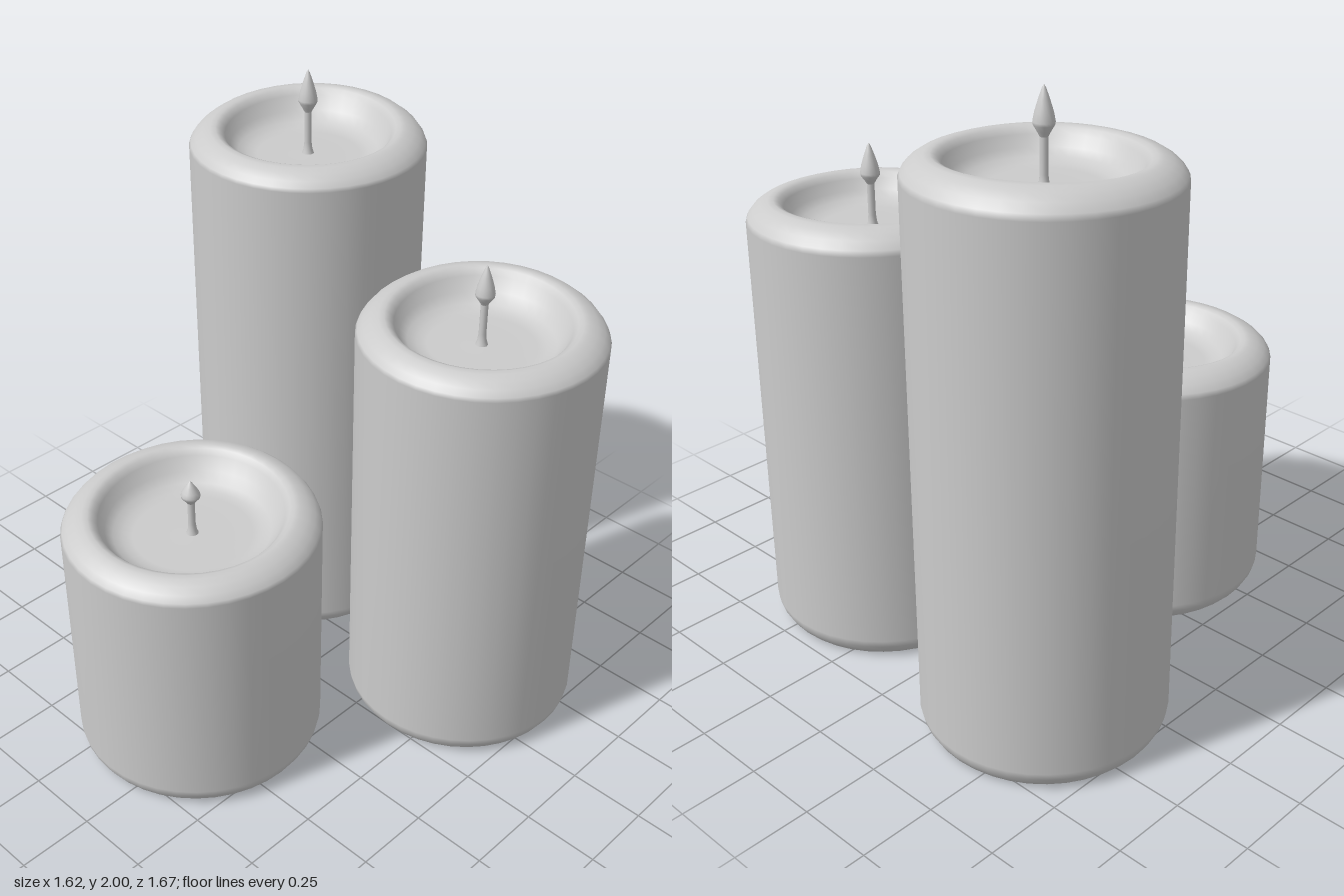
import * as THREE from 'three';

const material = new THREE.MeshStandardMaterial({ color: 0xcccccc });

// Smooth lathe from [radius, height] pairs listed bottom to top
function lathe(name, points, segments) {
  const profile = points.map(([r, y]) => new THREE.Vector2(r, y));
  const mesh = new THREE.Mesh(new THREE.LatheGeometry(profile, segments), material);
  mesh.name = name;
  return mesh;
}

// Lift the melted rim towards the back-left side
function liftRim(geometry, top, lift) {
  const p = geometry.attributes.position;
  for (let i = 0; i < p.count; i++) {
    const x = p.getX(i), y = p.getY(i), z = p.getZ(i);
    const r = Math.hypot(x, z);
    if (y < top - 0.07 || r < 0.23) continue;
    const side = 0.5 - 0.5 * (0.5 * x + 0.866 * z) / r;
    const weight = THREE.MathUtils.smoothstep(y, top - 0.09, top - 0.01);
    p.setY(i, y + lift * weight * side * side);
  }
}

function candle({ name, x, z, radius: R, top, tip, neck, wide, pool }) {
  const group = new THREE.Group();
  group.name = name;
  const floor = top - 0.09;

  // Wax wall, rounded shoulder, rim and hollow
  const wax = lathe('waxBody', [
    [R - 0.04, 0], [R - 0.025, 0.015], [R - 0.01, 0.04], [R - 0.004, 0.065],
    [R, top - 0.055], [R - 0.006, top - 0.043], [R - 0.022, top - 0.026],
    [R - 0.045, top - 0.011], [R - 0.07, top - 0.002], [R - 0.088, top],
    [R - 0.103, top - 0.006], [R - 0.118, top - 0.022], [pool + 0.025, top - 0.055],
    [pool, top - 0.075], [pool - 0.03, floor + 0.004], [pool - 0.06, floor],
    [0.05, floor + 0.001], [0, floor + 0.002],
  ], 40);
  liftRim(wax.geometry, top, 0.03);

  // Flat underside
  const base = new THREE.Mesh(new THREE.CircleGeometry(R - 0.04, 40), material);
  base.name = 'base';
  base.rotation.x = Math.PI / 2;

  // Wick with a small flare where it meets the wax
  const wick = lathe('wick', [
    [0.022, floor - 0.005], [0.015, floor + 0.015], [0.012, floor + 0.04], [0.012, neck + 0.005],
  ], 12);

  // Pointed flame
  const flame = lathe('flame', [
    [0.011, neck - 0.003], [0.02, neck + (wide - neck) * 0.4], [0.03, wide - 0.004],
    [0.031, wide + 0.005], [0.026, wide + (tip - wide) * 0.3],
    [0.016, wide + (tip - wide) * 0.62], [0.006, wide + (tip - wide) * 0.9], [0, tip],
  ], 16);

  group.add(wax, base, wick, flame);
  group.position.set(x, 0, z);
  return group;
}

export function createModel() {
  const model = new THREE.Group();
  model.name = 'candleTrio';
  model.add(
    candle({ name: 'tallCandle', x: -0.42, z: -0.445, radius: 0.39, top: 1.805, tip: 2, neck: 1.86, wide: 1.895, pool: 0.23 }),
    candle({ name: 'middleCandle', x: 0.415, z: -0.35, radius: 0.39, top: 1.457, tip: 1.64, neck: 1.51, wide: 1.54, pool: 0.23 }),
    candle({ name: 'shortCandle', x: -0.083, z: 0.425, radius: 0.412, top: 0.89, tip: 1, neck: 0.92, wide: 0.945, pool: 0.25 }),
  );
  return model;
}
